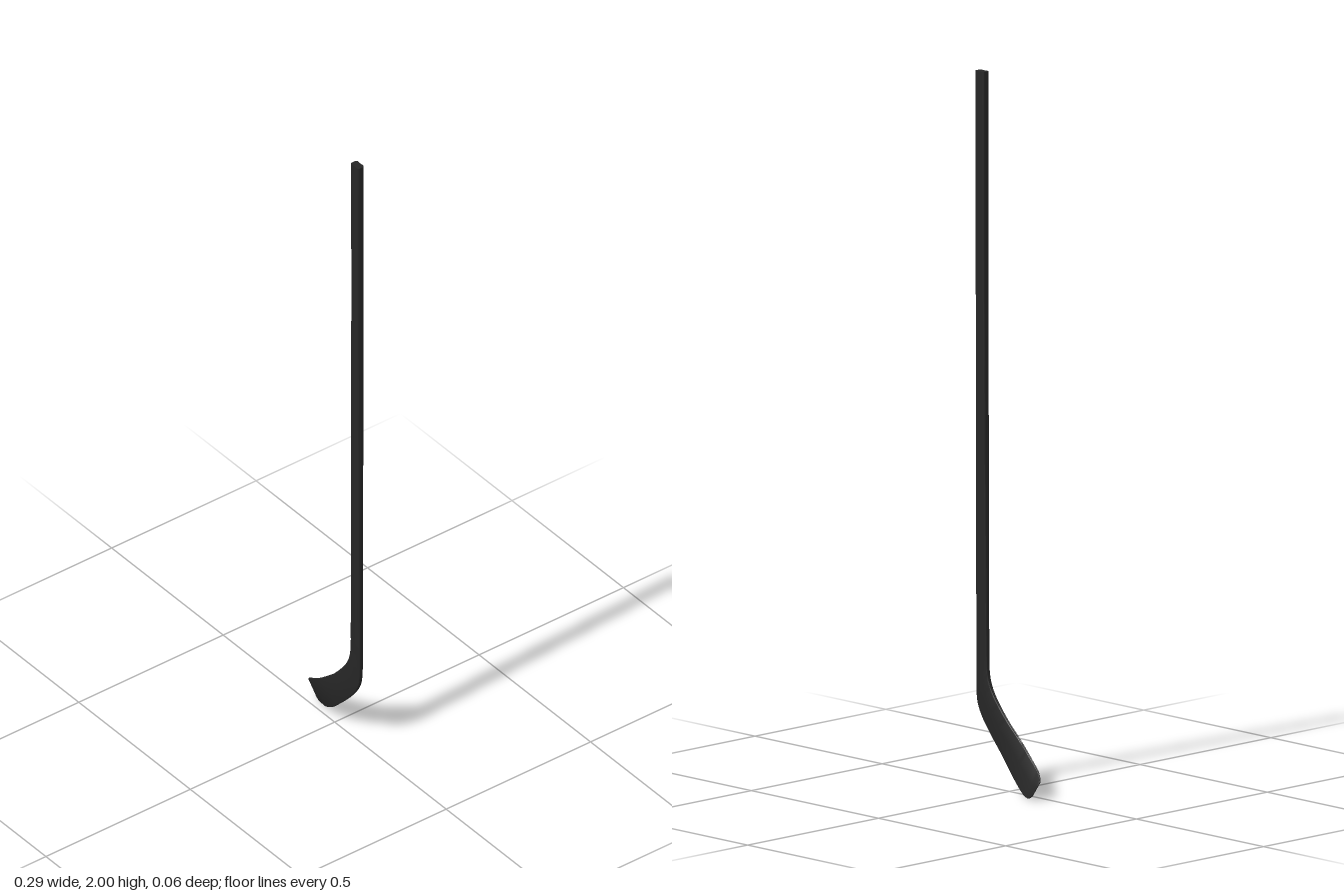
import * as THREE from 'three';
import { toCreasedNormals } from 'three/addons/utils/BufferGeometryUtils.js';

// Stations from grip to toe: inner edge x,y,z, outer edge x,y,z, thickness
const STATIONS = [
  [0.108, 2.0, 0.0185, 0.144, 2.0, 0.0185, 0.022],
  [0.108, 1.5, 0.0185, 0.144, 1.5, 0.0185, 0.021],
  [0.105, 0.9, 0.0185, 0.144, 0.9, 0.0185, 0.017],
  [0.102, 0.4, 0.0185, 0.144, 0.4, 0.0185, 0.013],
  [0.101, 0.33, 0.0185, 0.144, 0.29, 0.0185, 0.012],
  [0.095, 0.295, 0.0185, 0.143, 0.253, 0.0185, 0.012],
  [0.08, 0.262, 0.0185, 0.138, 0.222, 0.0185, 0.011],
  [0.05, 0.222, 0.0185, 0.121, 0.188, 0.0185, 0.010],
  [0.02, 0.189, 0.018, 0.09, 0.148, 0.0175, 0.009],
  [-0.02, 0.154, 0.016, 0.045, 0.1, 0.014, 0.008],
  [-0.06, 0.121, 0.010, 0, 0.057, 0.005, 0.008],
  [-0.095, 0.096, 0.001, -0.05, 0.022, -0.011, 0.007],
  [-0.118, 0.08, -0.006, -0.085, 0.006, -0.024, 0.007],
  [-0.13, 0.071, -0.012, -0.104, 0.002, -0.028, 0.006],
  [-0.138, 0.063, -0.017, -0.118, 0.009, -0.029, 0.005],
  [-0.144, 0.052, -0.022, -0.131, 0.027, -0.028, 0.003],
];

// Rounded rectangle with slightly hollow sides, as [across, through] offsets
function profile(halfWidth, halfThick) {
  const r = Math.min(halfThick * 0.55, halfWidth * 0.4);
  const points = [];
  const corners = [[1, 1], [-1, 1], [-1, -1], [1, -1]];
  corners.forEach(([sx, sy], q) => {
    for (let k = 0; k <= 3; k++) {
      const a = (q + k / 3) * Math.PI / 2;
      points.push([sx * (halfWidth - r) + r * Math.cos(a), sy * (halfThick - r) + r * Math.sin(a)]);
    }
    // middle of the side that follows this corner
    if (q % 2 === 0) points.push([0, sy * halfThick * 0.93]);
    else points.push([sx * halfWidth * 0.97, 0]);
  });
  return points;
}

// Skin the cross-sections between the two edge curves
function loft() {
  const inner = new THREE.CatmullRomCurve3(STATIONS.map(s => new THREE.Vector3(s[0], s[1], s[2])));
  const outer = new THREE.CatmullRomCurve3(STATIONS.map(s => new THREE.Vector3(s[3], s[4], s[5])));
  const spans = STATIONS.length - 1, rows = spans * 4;
  const positions = [], index = [], centres = [];
  let n = 0;
  for (let i = 0; i <= rows; i++) {
    const t = i / rows;
    const s = Math.min(Math.floor(i / 4), spans - 1);
    const thick = THREE.MathUtils.lerp(STATIONS[s][6], STATIONS[s + 1][6], i / 4 - s);
    const a = inner.getPoint(t), b = outer.getPoint(t);
    const centre = a.clone().add(b).multiplyScalar(0.5);
    const across = b.clone().sub(a);
    const width = across.length();
    across.normalize();
    const through = new THREE.Vector3(0, 0, 1).addScaledVector(across, -across.z).normalize();
    const ring = profile(width / 2, thick / 2);
    n = ring.length;
    for (const [u, v] of ring) {
      positions.push(...centre.clone().addScaledVector(across, u).addScaledVector(through, v).toArray());
    }
    centres.push(centre);
  }
  for (let i = 0; i < rows; i++) {
    for (let j = 0; j < n; j++) {
      const k = (j + 1) % n, p = i * n, q = p + n;
      index.push(p + j, p + k, q + k, p + j, q + k, q + j);
    }
  }
  // end caps at the grip and the toe
  const top = positions.length / 3, last = rows * n;
  positions.push(...centres[0].toArray(), ...centres[rows].toArray());
  for (let j = 0; j < n; j++) {
    const k = (j + 1) % n;
    index.push(top, k, j, top + 1, last + j, last + k);
  }
  const geometry = new THREE.BufferGeometry();
  geometry.setAttribute('position', new THREE.Float32BufferAttribute(positions, 3));
  geometry.setIndex(index);
  return toCreasedNormals(geometry, 0.7);
}

export function createModel() {
  const group = new THREE.Group();
  group.name = 'hockeyStick';
  const black = new THREE.MeshStandardMaterial({ color: 0x262626 });
  black.name = 'matte black';
  const stick = new THREE.Mesh(loft(), black);
  stick.name = 'shaftAndBlade';
  group.add(stick);
  return group;
}
